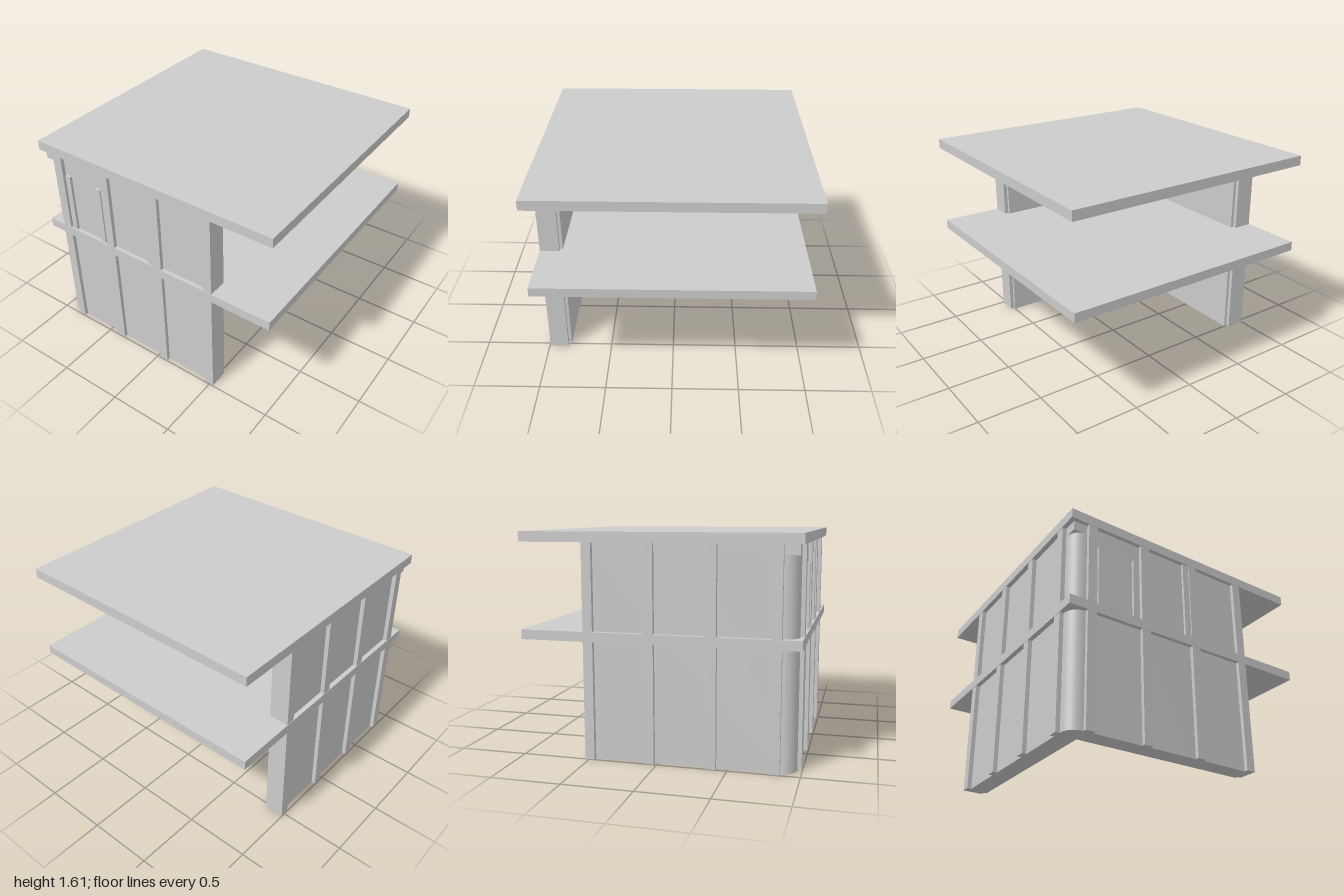
import * as THREE from 'three';
import { toCreasedNormals } from 'three/addons/utils/BufferGeometryUtils.js';

const material = new THREE.MeshStandardMaterial({ color: 0xcccccc });

function addBox(parent, name, [x0, x1], [y0, y1], [z0, z1]) {
  const mesh = new THREE.Mesh(new THREE.BoxGeometry(x1 - x0, y1 - y0, z1 - z0), material);
  mesh.position.set((x0 + x1) / 2, (y0 + y1) / 2, (z0 + z1) / 2);
  mesh.name = name;
  parent.add(mesh);
}

// L-shaped plan of the two walls, with an optional rounded outer corner
function wallGeometry(radius, height) {
  const out = 0.965, inner = 0.825, end = 0.5;
  const s = new THREE.Shape(); // shape y is -z
  s.moveTo(end, -out);
  s.lineTo(end, -inner);
  s.lineTo(-inner, -inner);
  s.lineTo(-inner, end);
  s.lineTo(-out, end);
  if (radius > 0) {
    s.lineTo(-out, -out + radius);
    s.absarc(-out + radius, -out + radius, radius, Math.PI, Math.PI * 1.5, false);
  } else {
    s.lineTo(-out, -out);
  }
  s.closePath();
  const geo = new THREE.ExtrudeGeometry(s, { depth: height, bevelEnabled: false, curveSegments: 14 });
  geo.rotateX(-Math.PI / 2);
  return toCreasedNormals(geo, 0.5);
}

export function createModel() {
  const model = new THREE.Group();
  model.name = 'buildingCorner';

  // Walls: rounded corner below, square corner in the top band
  const walls = new THREE.Mesh(wallGeometry(0.1, 1.47), material);
  walls.name = 'walls';
  const band = new THREE.Mesh(wallGeometry(0, 0.07), material);
  band.name = 'wallTopBand';
  band.position.y = 1.47;
  model.add(walls, band);

  // Floor and roof slabs
  addBox(model, 'floorSlab', [-1, 1], [0.85, 0.92], [-0.995, 0.995]);
  addBox(model, 'roofSlab', [-1, 1], [1.54, 1.613], [-0.995, 0.995]);

  // Pilasters, mirrored about the corner diagonal
  const columns = new THREE.Group();
  columns.name = 'columns';
  for (const a of [-0.86, -0.42, 0.02, 0.46]) {
    const b = a + 0.07;
    addBox(columns, 'frontColumn', [a, b], [0, 1.54], [0.848, 0.993]);
    addBox(columns, 'sideColumn', [-0.997, -0.848], [0, 1.54], [-b, -a]);
  }
  model.add(columns);

  // Slim fins on the upper front wall
  for (const [x0, x1, top] of [[-0.775, -0.73, 1.39], [-0.485, -0.44, 1.39], [-0.03, 0.02, 1.54]]) {
    addBox(model, 'frontFin', [x0, x1], [0.92, top], [0.9, 0.985]);
  }
  return model;
}
